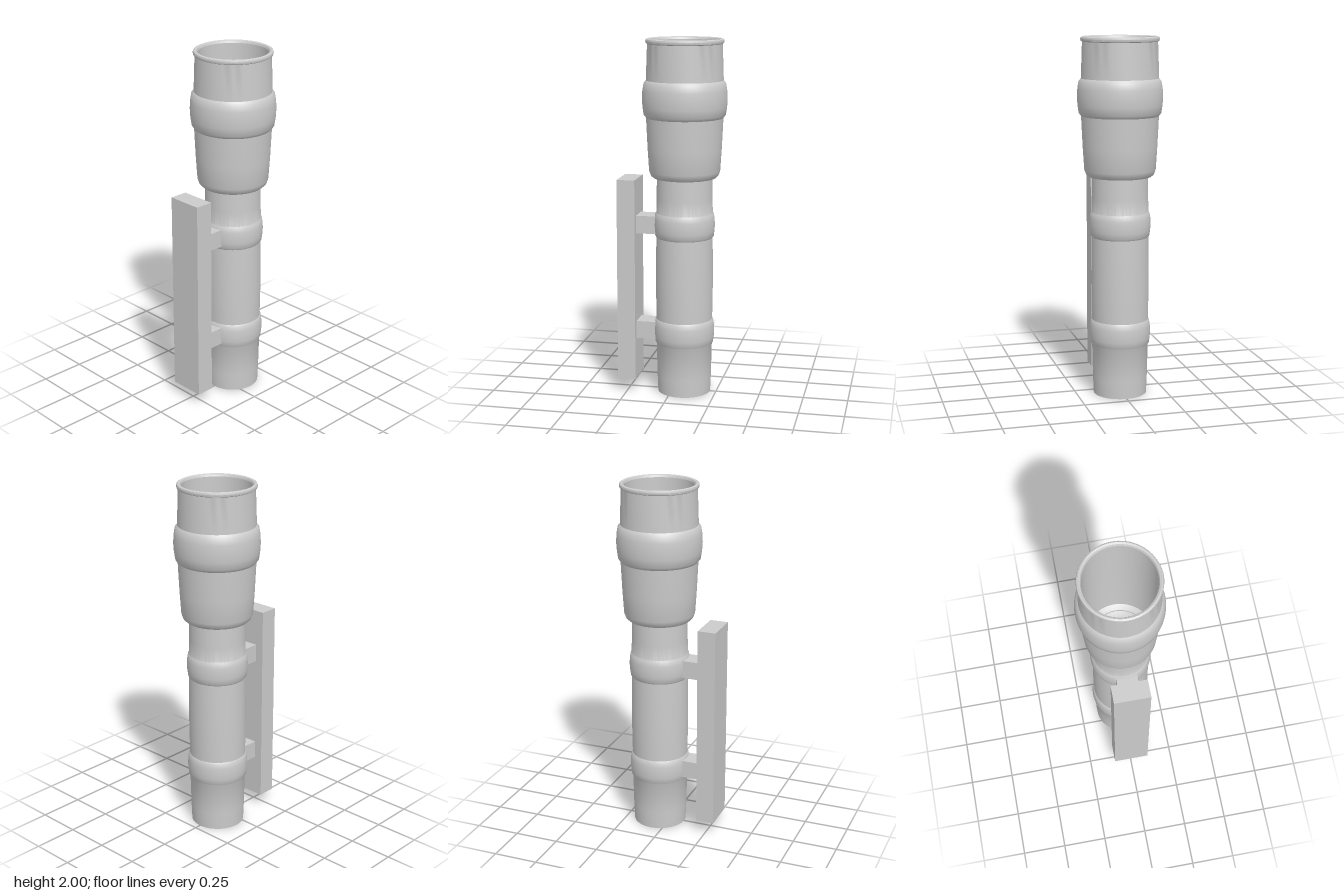
import * as THREE from 'three';
import { toCreasedNormals } from 'three/addons/utils/BufferGeometryUtils.js';

const AXIS_Z = -0.065;

export function createModel() {
  const model = new THREE.Group();
  const solid = new THREE.MeshStandardMaterial({ color: 0xcccccc });
  const shell = new THREE.MeshStandardMaterial({ color: 0xcccccc, side: THREE.DoubleSide });

  // Surface of revolution about the tube axis, from [radius, height] pairs
  function turned(name, profile) {
    const points = profile.map(([r, y]) => new THREE.Vector2(r, y));
    const geometry = toCreasedNormals(new THREE.LatheGeometry(points, 48), 0.6);
    const mesh = new THREE.Mesh(geometry, shell);
    mesh.name = name;
    mesh.position.z = AXIS_Z;
    model.add(mesh);
  }

  function box(name, size, position) {
    const mesh = new THREE.Mesh(new THREE.BoxGeometry(...size), solid);
    mesh.name = name;
    mesh.position.set(...position);
    model.add(mesh);
  }

  // Bulging ring around the tube
  const band = (r, bulge, y0, y1) => {
    const h = y1 - y0;
    return [[r, y0], [r + bulge * 0.5, y0 + h * 0.06], [r + bulge * 0.85, y0 + h * 0.28],
      [r + bulge, y0 + h * 0.5], [r + bulge * 0.85, y0 + h * 0.75],
      [r + bulge * 0.5, y0 + h * 0.94], [r, y1]];
  };

  // Slender handle, open at the bottom
  turned('handleTube', [
    [0.149, 0], [0.153, 0.1], [0.157, 0.28],
    ...band(0.158, 0.012, 0.285, 0.43),
    [0.161, 0.65],
    ...band(0.158, 0.012, 0.9, 1.04),
    [0.156, 1.12], [0.154, 1.25],
  ]);

  // Wide hollow head with a rolled lip and a funnel floor
  turned('headOuter', [
    [0.15, 1.236], [0.175, 1.238], [0.188, 1.25], [0.197, 1.275],
    [0.205, 1.4], [0.213, 1.57],
    ...band(0.217, 0.018, 1.575, 1.77),
    [0.213, 1.775], [0.206, 1.972],
    [0.213, 1.976], [0.216, 1.987], [0.213, 1.996], [0.205, 2],
    [0.195, 1.996], [0.19, 1.985],
  ]);
  turned('headInner', [
    [0.1, 1.16], [0.122, 1.2], [0.15, 1.235], [0.186, 1.26],
    [0.188, 1.32], [0.192, 1.6], [0.19, 1.985],
  ]);

  // Flat bar held in front of the handle by two brackets
  box('mountingBar', [0.204, 1.15, 0.102], [0, 0.65, 0.249]);
  for (const [name, y] of [['lowerBracket', 0.36], ['upperBracket', 0.97]]) {
    box(name, [0.12, 0.1, 0.26], [0.007, y, 0.07]);
  }

  return model;
}
